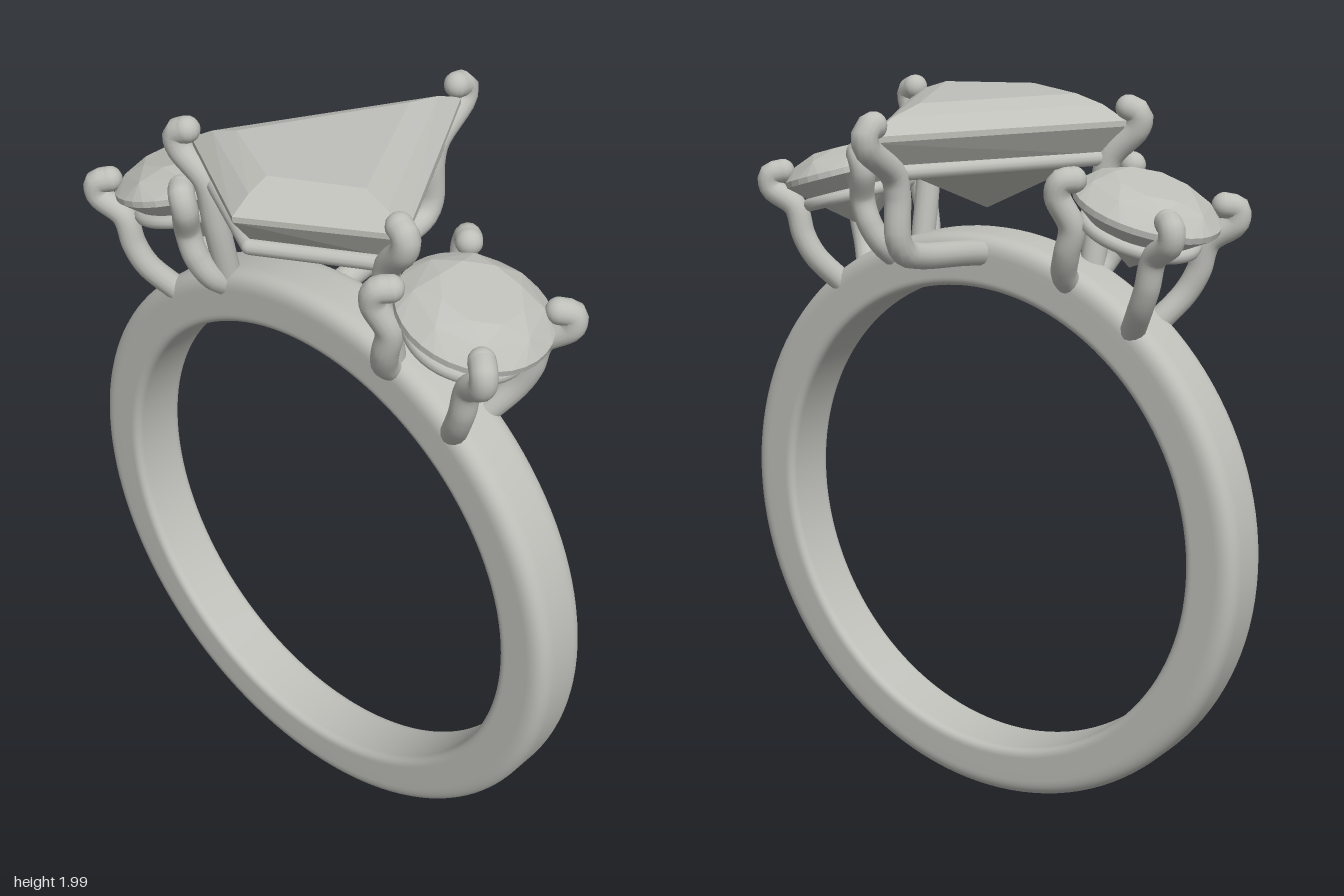
import * as THREE from 'three';
import { ConvexGeometry } from 'three/addons/geometries/ConvexGeometry.js';

const silver = new THREE.MeshStandardMaterial({ color: 0xbfbfba });
silver.name = 'silver grey';
const V = (x, y, z) => new THREE.Vector3(x, y, z);
const MID = 0.147; // z of the band's middle plane

function add(parent, name, geometry) {
  const mesh = new THREE.Mesh(geometry, silver);
  mesh.name = name;
  parent.add(mesh);
  return mesh;
}

// Round wire along a smooth path, with a ball at the tip
function wire(parent, name, points, radius) {
  const group = new THREE.Group();
  group.name = name;
  const path = new THREE.CatmullRomCurve3(points, false, 'centripetal');
  add(group, name + 'Stem', new THREE.TubeGeometry(path, 36, radius, 14));
  add(group, name + 'Tip', new THREE.SphereGeometry(radius, 14, 10)).position.copy(points[0]);
  parent.add(group);
}

// Finger band: rounded section turned about z, a little narrower at the bottom
function band(parent) {
  const r0 = 0.667, r1 = 0.81, w = 0.09, a = 0.05, b = 0.025;
  const s = new THREE.Shape();
  s.moveTo(r1, 0);
  s.lineTo(r1, w - a);
  s.quadraticCurveTo(r1, w, r1 - a, w);
  s.lineTo(r0 + b, w);
  s.quadraticCurveTo(r0, w, r0, w - b);
  s.lineTo(r0, b - w);
  s.quadraticCurveTo(r0, -w, r0 + b, -w);
  s.lineTo(r1 - a, -w);
  s.quadraticCurveTo(r1, -w, r1, a - w);
  s.lineTo(r1, 0);
  const geo = new THREE.LatheGeometry(s.getPoints(8), 128).rotateX(Math.PI / 2);
  const p = geo.attributes.position;
  for (let i = 0; i < p.count; i++) p.setZ(i, p.getZ(i) * (0.94 + 0.06 * p.getY(i)));
  add(parent, 'band', geo).position.set(0, 0.81, MID);
}

// Kite-shaped centre stone: stacked kite outlines [y, back z, half width, side z, front z]
function kite(y, back, half, side, front) {
  return [V(0, y, back), V(half, y, side), V(0, y, front), V(-half, y, side)];
}
function centreStone(parent) {
  const points = [
    ...kite(1.99, -0.17, 0.21, 0.22, 0.33),
    ...kite(1.967, -0.28, 0.285, 0.23, 0.39),
    ...kite(1.93, -0.37, 0.35, 0.24, 0.445),
    ...kite(1.915, -0.37, 0.35, 0.24, 0.445),
    ...kite(1.84, -0.27, 0.29, 0.225, 0.385),
    V(0, 1.685, 0.12),
  ];
  add(parent, 'centreStone', new ConvexGeometry(points));

  // Rail under the stone
  const corners = kite(1.83, -0.28, 0.29, 0.235, 0.395);
  corners.forEach((c, i) => {
    const line = new THREE.LineCurve3(c, corners[(i + 1) % 4]);
    add(parent, 'centreRail', new THREE.TubeGeometry(line, 1, 0.02, 12));
    add(parent, 'centreRailCorner', new THREE.SphereGeometry(0.02, 12, 8)).position.copy(c);
  });

  // Prongs: one at each side corner, one long arm at the back
  for (const s of [-1, 1]) {
    wire(parent, 'centreSideProng', [
      V(s * 0.345, 1.96, 0.258), V(s * 0.373, 1.945, 0.267), V(s * 0.368, 1.91, 0.267),
      V(s * 0.3, 1.83, 0.245), V(s * 0.285, 1.72, 0.235), V(s * 0.28, 1.53, 0.2),
    ], 0.034);
  }
  wire(parent, 'centreBackProng', [
    V(-0.015, 1.96, -0.37), V(-0.018, 1.95, -0.405), V(-0.018, 1.915, -0.405),
    V(-0.015, 1.83, -0.295), V(-0.015, 1.78, -0.28), V(-0.015, 1.67, -0.28),
    V(-0.015, 1.63, -0.255), V(-0.015, 1.612, -0.2), V(-0.015, 1.585, 0), V(-0.015, 1.565, 0.12),
  ], 0.034);
}

// Round brilliant stone, girdle at the origin
function brilliant() {
  const points = [V(0, -0.165, 0)];
  const ring = (n, r, y, turn) => {
    for (let i = 0; i < n; i++) {
      const t = ((i + turn) / n) * Math.PI * 2;
      points.push(V(Math.cos(t) * r, y, Math.sin(t) * r));
    }
  };
  ring(8, 0.105, 0.067, 0.5);
  ring(8, 0.156, 0.044, 0);
  ring(32, 0.193, 0.008, 0);
  ring(32, 0.193, -0.008, 0);
  ring(8, 0.075, -0.108, 0.5);
  return new ConvexGeometry(points);
}

// Side stone with seat ring and four prongs; s is the side (+1 or -1)
function sideStone(parent, s) {
  const setting = new THREE.Group();
  setting.name = s > 0 ? 'leftSetting' : 'rightSetting';
  parent.add(setting);

  const head = new THREE.Group();
  head.name = 'tiltedStone';
  head.position.set(s * 0.478, 1.733, MID - 0.004);
  head.rotation.z = -s * 0.295;
  add(head, 'sideStone', brilliant());
  add(head, 'seatRing', new THREE.TorusGeometry(0.143, 0.018, 10, 48).rotateX(Math.PI / 2)).position.y = -0.066;
  setting.add(head);

  for (const f of [-1, 1]) {
    const q = (x, y, z) => V(s * x, y, MID + f * z);
    wire(setting, 'outerProng', [
      q(0.618, 1.735, 0.14), q(0.643, 1.725, 0.163), q(0.642, 1.69, 0.163), q(0.58, 1.64, 0.135),
      q(0.558, 1.56, 0.127), q(0.53, 1.5, 0.11), q(0.475, 1.42, 0.055),
    ], 0.033);
    wire(setting, 'innerProng', [
      q(0.345, 1.81, 0.14), q(0.322, 1.805, 0.162), q(0.312, 1.77, 0.163), q(0.338, 1.69, 0.135),
      q(0.32, 1.62, 0.127), q(0.295, 1.56, 0.1), q(0.285, 1.52, 0.055),
    ], 0.034);
  }
}

export function createModel() {
  const model = new THREE.Group();
  model.name = 'threeStoneRing';
  band(model);
  centreStone(model);
  for (const s of [-1, 1]) sideStone(model, s);
  return model;
}
